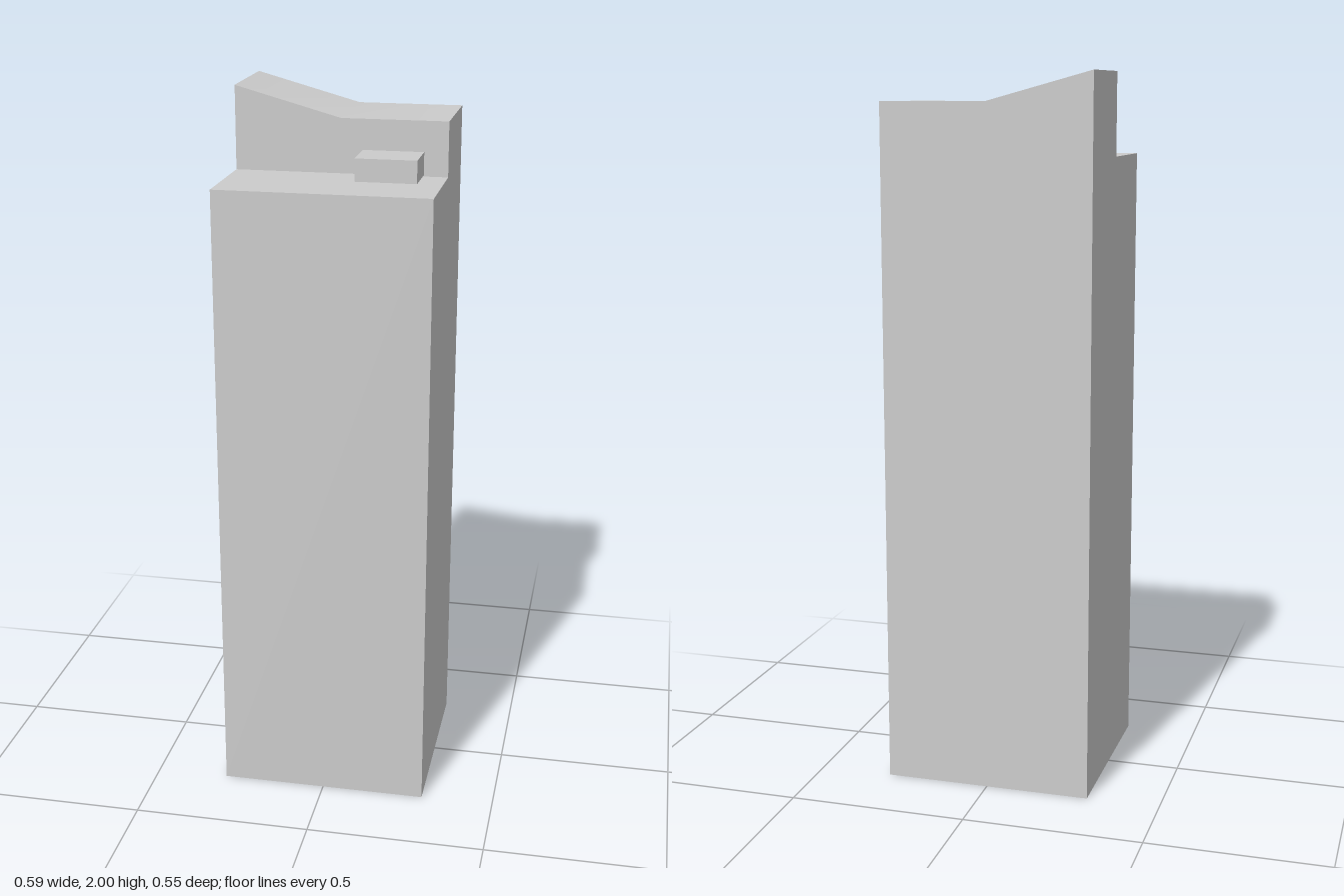
import * as THREE from 'three';

const W = 0.294, D = 0.276, LEDGE = 1.77, LOW = 1.92, HIGH = 2;
const material = new THREE.MeshStandardMaterial({ color: 0xcccccc, side: THREE.DoubleSide });

// Flat panel from an outline, placed on a plane by a mapping of (u, v) to (x, y, z)
function panel(name, outline, place) {
  const geometry = new THREE.ShapeGeometry(new THREE.Shape(outline.map(([u, v]) => new THREE.Vector2(u, v))));
  const pos = geometry.attributes.position;
  for (let i = 0; i < pos.count; i++) pos.setXYZ(i, ...place(pos.getX(i), pos.getY(i)));
  geometry.computeVertexNormals();
  const mesh = new THREE.Mesh(geometry, material);
  mesh.name = name;
  return mesh;
}

const rect = (u0, v0, u1, v1) => [[u0, v0], [u1, v0], [u1, v1], [u0, v1]];

// Side wall with the step between ledge and raised back half
const sideOutline = (top) => [[-D, 0], [D, 0], [D, LEDGE], [0, LEDGE], [0, top], [-D, top]];

export function createModel() {
  const model = new THREE.Group();
  model.name = 'tower';

  // Walls of the open-bottomed shell
  model.add(
    panel('frontWall', rect(-W, 0, W, LEDGE), (x, y) => [x, y, D]),
    panel('backWall', [[-W, 0], [W, 0], [W, LOW], [0, LOW], [-W, HIGH]].map(([x, y]) => [-x, y]),
      (u, y) => [-u, y, -D]),
    panel('leftWall', sideOutline(LOW).map(([z, y]) => [-z, y]), (u, y) => [W, y, -u]),
    panel('rightWall', sideOutline(HIGH), (z, y) => [-W, y, z]),
  );

  // Lower front terrace and the riser behind it
  model.add(
    panel('ledge', rect(-W, -D, W, 0), (x, v) => [x, LEDGE, -v]),
    panel('riser', [[-W, LEDGE], [W, LEDGE], [W, LOW], [0, LOW], [-W, HIGH]], (x, y) => [x, y, 0]),
  );

  // Roof: slopes down to the middle, then runs level, shaded smoothly over the bend
  const roofGeometry = new THREE.PlaneGeometry(2 * W, D, 2, 1).rotateX(-Math.PI / 2).translate(0, LOW, -D / 2);
  const pos = roofGeometry.attributes.position;
  for (let i = 0; i < pos.count; i++) if (pos.getX(i) < -0.01) pos.setY(i, HIGH);
  roofGeometry.computeVertexNormals();
  const roof = new THREE.Mesh(roofGeometry, material);
  roof.name = 'roof';
  model.add(roof);

  // Small block on the terrace
  const block = new THREE.Mesh(new THREE.BoxGeometry(0.168, 0.062, 0.123), material);
  block.name = 'terraceBlock';
  block.position.set(0.144, 1.805, 0.0615);
  model.add(block);

  return model;
}
